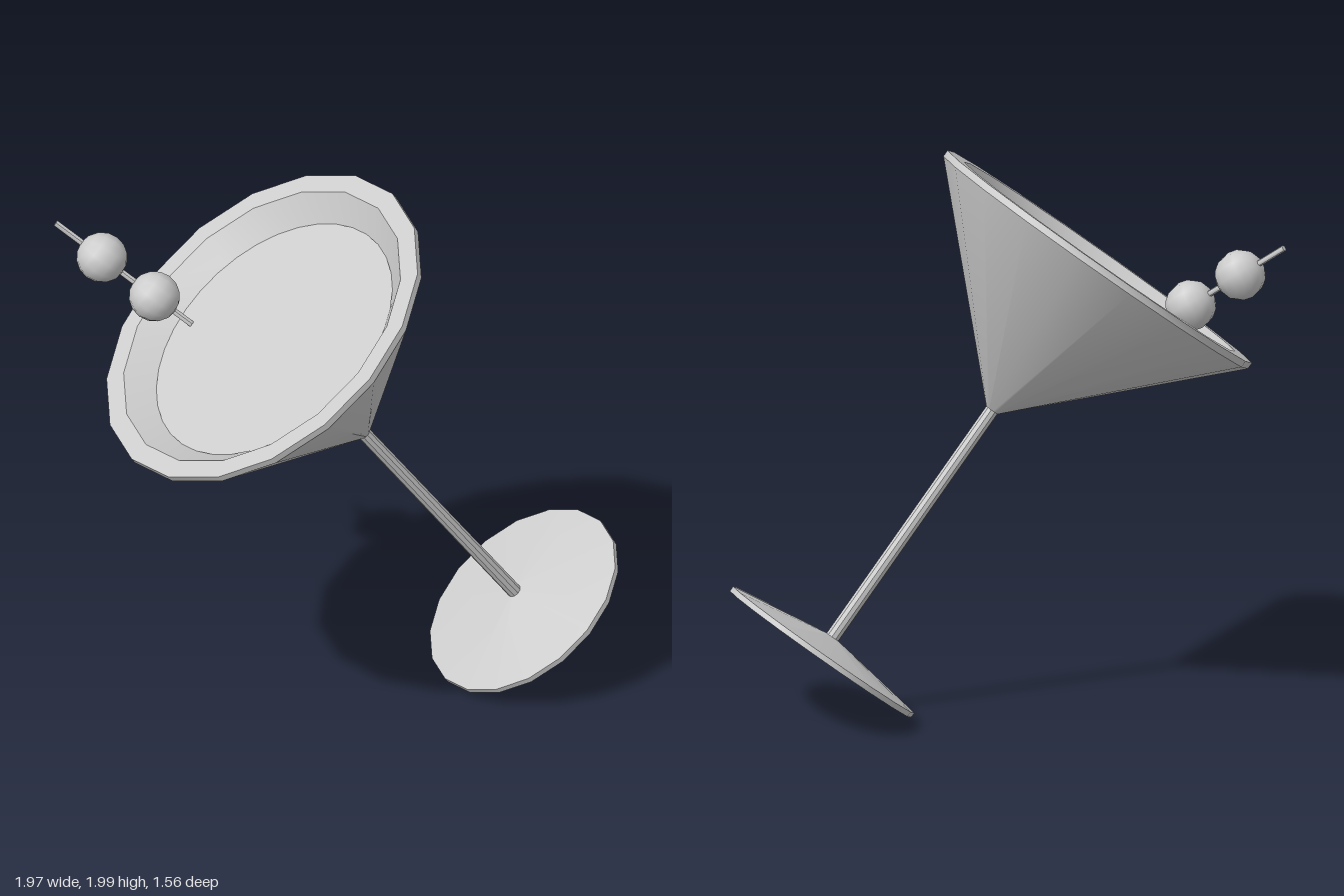
import * as THREE from 'three';
import { toCreasedNormals } from 'three/addons/utils/BufferGeometryUtils.js';

const SIDES = 18;
const material = new THREE.MeshStandardMaterial({ color: 0xcccccc });

function addMesh(parent, name, geometry) {
  const mesh = new THREE.Mesh(geometry, material);
  mesh.name = name;
  parent.add(mesh);
  return mesh;
}

// Revolve [radius, height] pairs, keeping the profile corners sharp.
function turned(profile, sides = SIDES) {
  const points = profile.map(([r, y]) => new THREE.Vector2(r, y));
  return toCreasedNormals(new THREE.LatheGeometry(points, sides), 0.6);
}

export function createModel() {
  const model = new THREE.Group();
  model.name = 'tiltedCocktailGlass';

  // The glass is built upright from the centre of its foot, then tilted.
  const glass = new THREE.Group();
  glass.name = 'glass';
  addMesh(glass, 'foot', turned([[0, -0.01], [0.39, -0.01], [0.39, 0.01], [0.02, 0.065]]));
  addMesh(glass, 'stem', turned([[0.026, 0.05], [0.025, 1.05]], 10));
  addMesh(glass, 'bowl', turned([
    [0, 1.035], [0.025, 1.04], [0.655, 1.675], [0.655, 1.7], // outer cone and rim band
    [0.583, 1.7], [0.5, 1.62], [0, 1.12],                    // flat lip and inner wall
  ]));
  const drink = addMesh(glass, 'drinkSurface', new THREE.CircleGeometry(0.5, SIDES));
  drink.geometry.rotateX(-Math.PI / 2).rotateY(Math.PI / 2 + Math.PI / SIDES * 9);
  drink.position.y = 1.62;

  const up = new THREE.Vector3(-0.49, 0.803, 0.339).normalize();
  const right = new THREE.Vector3().crossVectors(up, new THREE.Vector3(-0.145, 0.172, -0.616)).normalize();
  const back = new THREE.Vector3().crossVectors(right, up);
  glass.quaternion.setFromRotationMatrix(new THREE.Matrix4().makeBasis(right, up, back));
  glass.position.set(0.645, 0.24, -0.415);
  model.add(glass);

  // Cocktail pick with two olives threaded along it.
  const start = new THREE.Vector3(-0.98, 1.77, -0.142);
  const end = new THREE.Vector3(-0.485, 1.435, -0.097);
  const along = end.clone().sub(start);
  const garnish = new THREE.Group();
  garnish.name = 'garnish';
  garnish.position.copy(start);
  garnish.quaternion.setFromUnitVectors(new THREE.Vector3(0, 1, 0), along.clone().normalize());
  const length = along.length();
  addMesh(garnish, 'pick', toCreasedNormals(new THREE.CylinderGeometry(0.011, 0.011, length, 8), 0.9))
    .position.y = length / 2;
  [0.34, 0.725].forEach((t, i) => {
    addMesh(garnish, `olive${i + 1}`, new THREE.SphereGeometry(0.09, 12, 8)).position.y = t * length;
  });
  model.add(garnish);

  return model;
}
